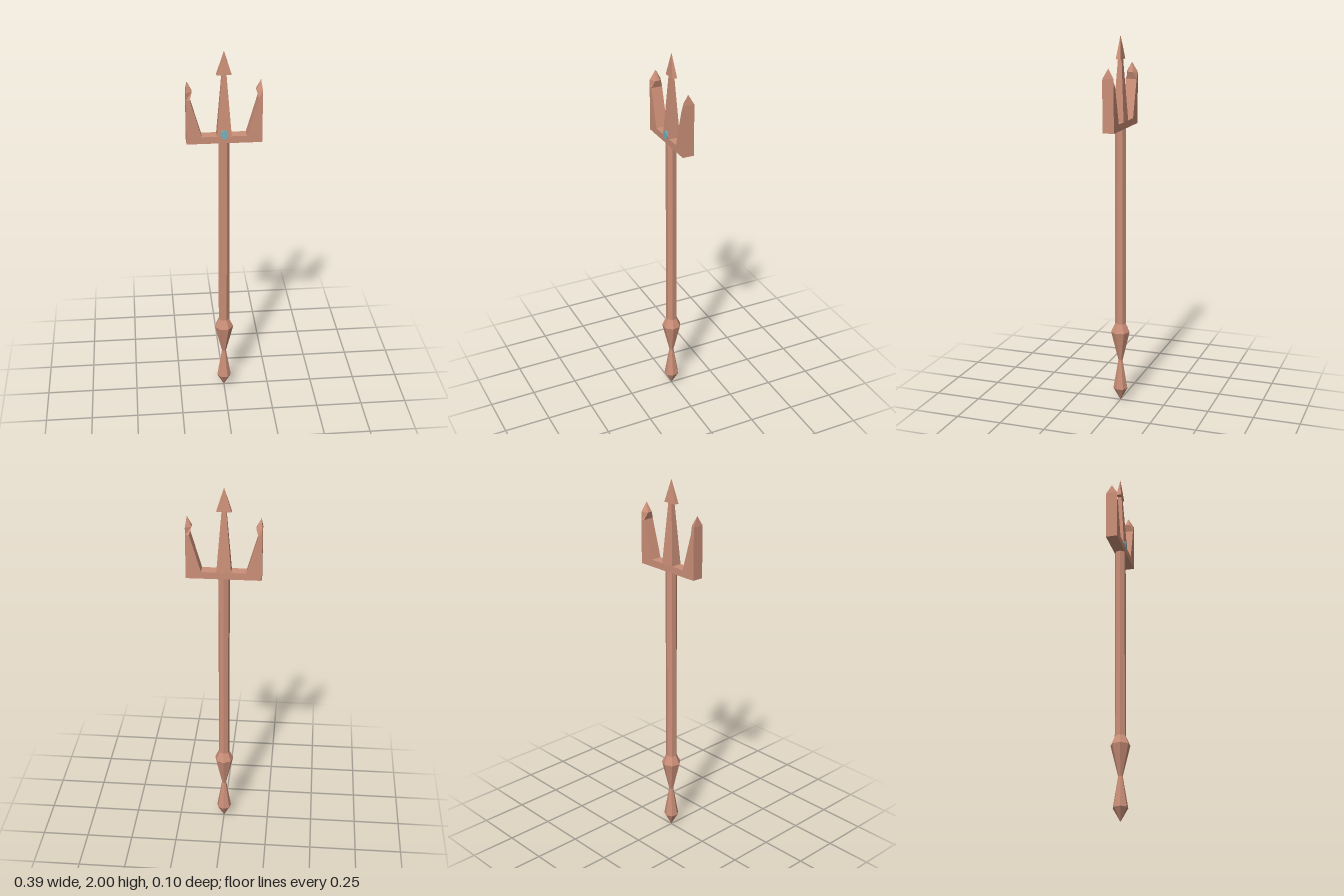
import * as THREE from 'three';

// Loft through rectangular sections [y, x0, x1, half depth at x0, half depth at x1]
function loft(sections) {
  const rings = sections.map(([y, x0, x1, z0, z1]) => [
    [x0, y, z0], [x1, y, z1], [x1, y, -z1], [x0, y, -z0],
  ]);
  const pos = [];
  const quad = (a, b, c, d) => pos.push(...a, ...b, ...c, ...a, ...c, ...d);
  for (let s = 0; s < rings.length - 1; s++) {
    const lo = rings[s], hi = rings[s + 1];
    for (let i = 0; i < 4; i++) {
      const j = (i + 1) % 4;
      quad(lo[i], lo[j], hi[j], hi[i]);
    }
  }
  const first = rings[0], last = rings[rings.length - 1];
  quad(first[3], first[2], first[1], first[0]);
  quad(...last);
  const g = new THREE.BufferGeometry();
  g.setAttribute('position', new THREE.Float32BufferAttribute(pos, 3));
  g.computeVertexNormals();
  return g;
}

export function createModel() {
  const group = new THREE.Group();
  const copper = new THREE.MeshStandardMaterial({ name: 'copper', color: 0xcb8f78, flatShading: true });
  const teal = new THREE.MeshStandardMaterial({ name: 'teal gem', color: 0x74b4c0, flatShading: true });
  const add = (name, geometry, material = copper) => {
    const mesh = new THREE.Mesh(geometry, material);
    mesh.name = name;
    group.add(mesh);
    return mesh;
  };

  // Seven-sided turned parts, with one corner facing the back
  const turned = (points) => new THREE.LatheGeometry(
    points.map(([r, y]) => new THREE.Vector2(r, y)), 7, Math.PI);
  add('pommel', turned([[0, 0], [0.04, 0.072], [0.012, 0.235], [0.052, 0.4], [0.03, 0.448]]));
  add('shaft', turned([[0.03, 0.448], [0.03, 1.525]]));

  // Crossbar
  const bar = add('crossbar', new THREE.BoxGeometry(0.386, 0.037, 0.061));
  bar.position.y = 1.5385;

  // Central prong and its arrowhead
  add('centralProng', loft([
    [1.55, -0.038, 0.038, 0.03, 0.03],
    [1.88, -0.012, 0.012, 0.01, 0.01],
  ]));
  add('arrowhead', loft([
    [1.877, -0.038, 0.038, 0.013, 0.013],
    [2, 0, 0, 0, 0],
  ]));

  // Side prongs with inward barbs; columns are y, inner x, outer x, inner and outer half depth
  const prong = [
    [1.557, 0.115, 0.193, 0.0305, 0.0305],
    [1.757, 0.173, 0.193, 0.0305, 0.0305],
    [1.795, 0.161, 0.193, 0.013, 0.03],
    [1.847, 0.186, 0.186, 0, 0],
  ];
  add('leftProng', loft(prong));
  add('rightProng', loft(prong.map(([y, xi, xo, zi, zo]) => [y, -xo, -xi, zo, zi])));

  // Gem set into the front of the crossbar
  const gem = add('gem', new THREE.CylinderGeometry(0.02, 0.02, 0.006, 8), teal);
  gem.rotation.x = Math.PI / 2;
  gem.scale.z = 1.25;
  gem.position.set(0, 1.566, 0.031);

  return group;
}
